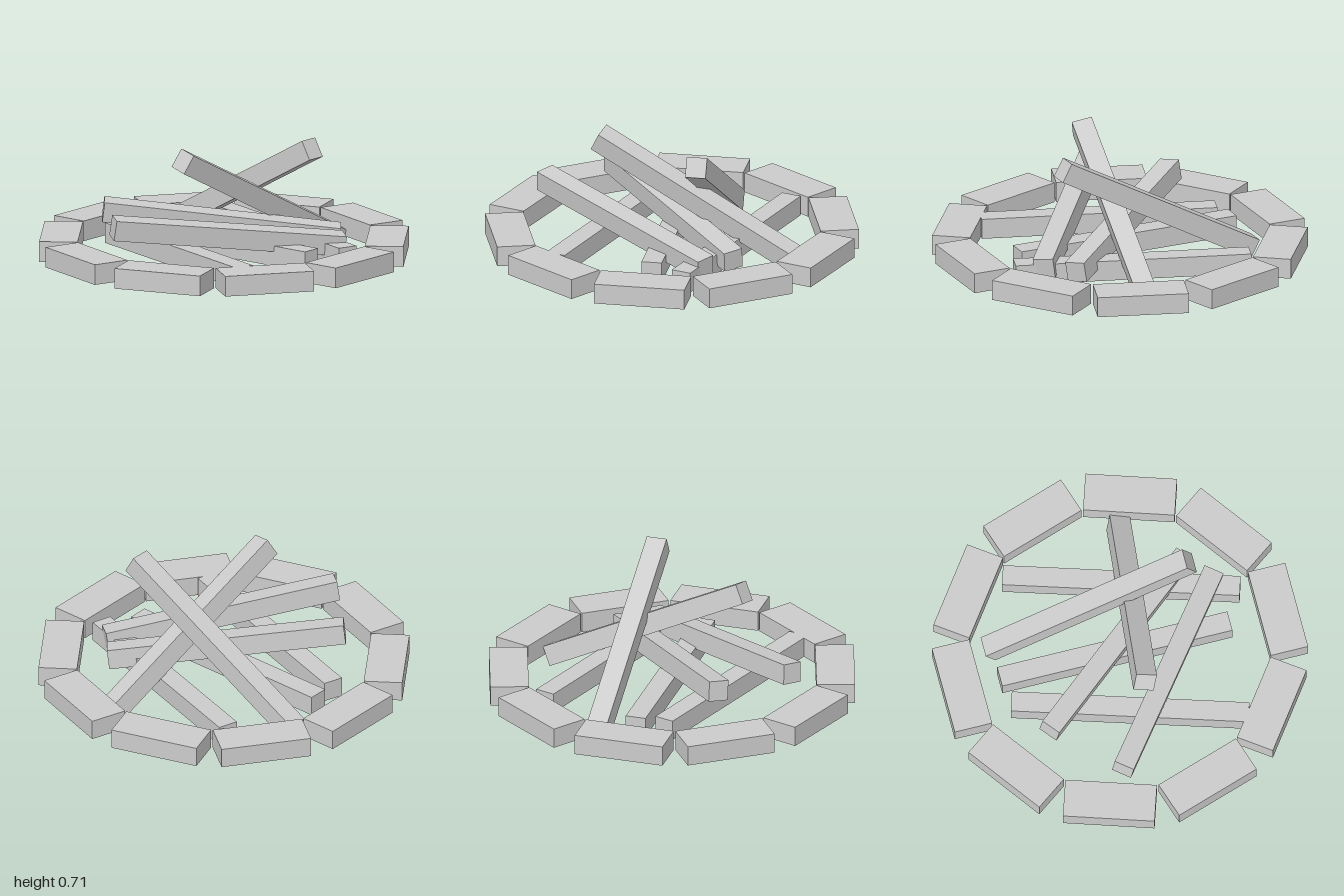
import * as THREE from 'three';

const material = new THREE.MeshStandardMaterial({ color: 0xcccccc, flatShading: true });
const LOG = 0.11; // square log section

// Square beam between two end centres; "across" gives the direction of its width
function beam(name, from, to, across) {
  const a = new THREE.Vector3(...from), b = new THREE.Vector3(...to);
  const along = b.clone().sub(a);
  const mesh = new THREE.Mesh(new THREE.BoxGeometry(LOG, LOG, along.length()), material);
  const z = along.normalize();
  const y = z.clone().cross(new THREE.Vector3(...across)).normalize();
  const x = y.clone().cross(z);
  mesh.quaternion.setFromRotationMatrix(new THREE.Matrix4().makeBasis(x, y, z));
  mesh.position.copy(a.add(b).multiplyScalar(0.5));
  mesh.name = name;
  return mesh;
}

export function createModel() {
  const model = new THREE.Group();
  model.name = 'campfire';

  // Ring of ten blocks
  const ring = new THREE.Group();
  ring.name = 'stoneRing';
  const block = new THREE.BoxGeometry(0.205, 0.11, 0.488);
  for (let i = 0; i < 10; i++) {
    const angle = (i * Math.PI) / 5;
    const stone = new THREE.Mesh(block, material);
    stone.name = 'stone';
    stone.position.set(0.867 * Math.cos(angle), 0.115, -0.867 * Math.sin(angle));
    stone.rotation.y = angle;
    ring.add(stone);
  }
  model.add(ring);

  // Logs lying flat inside the ring
  const flat = [
    [[-0.66, 0.115, 0], [0.603, 0.115, 0]],
    [[-0.502, 0.115, -0.553], [0.705, 0.115, -0.178]],
    [[-0.635, 0.115, 0.15], [0.572, 0.115, 0.525]],
  ];
  for (const [a, b] of flat) {
    model.add(beam('flatLog', a, b, [a[2] - b[2], 0, b[0] - a[0]]));
  }

  // Logs leaning on the pile: high end, low end, width direction
  const leaning = [
    [[0.435, 0.66, -0.21], [-0.67, 0.05, -0.21], [0, 0, 1]],
    [[0.037, 0.64, 0.39], [0.177, 0.055, -0.725], [0.105, -0.02, 0.025]],
    [[-0.493, 0.305, 0.41], [0.455, 0.155, -0.415], [0.07, -0.011, 0.082]],
    [[-0.17, 0.305, 0.72], [0.583, 0.152, -0.288], [0.088, -0.011, 0.067]],
  ];
  for (const [a, b, across] of leaning) model.add(beam('leaningLog', a, b, across));

  return model;
}
